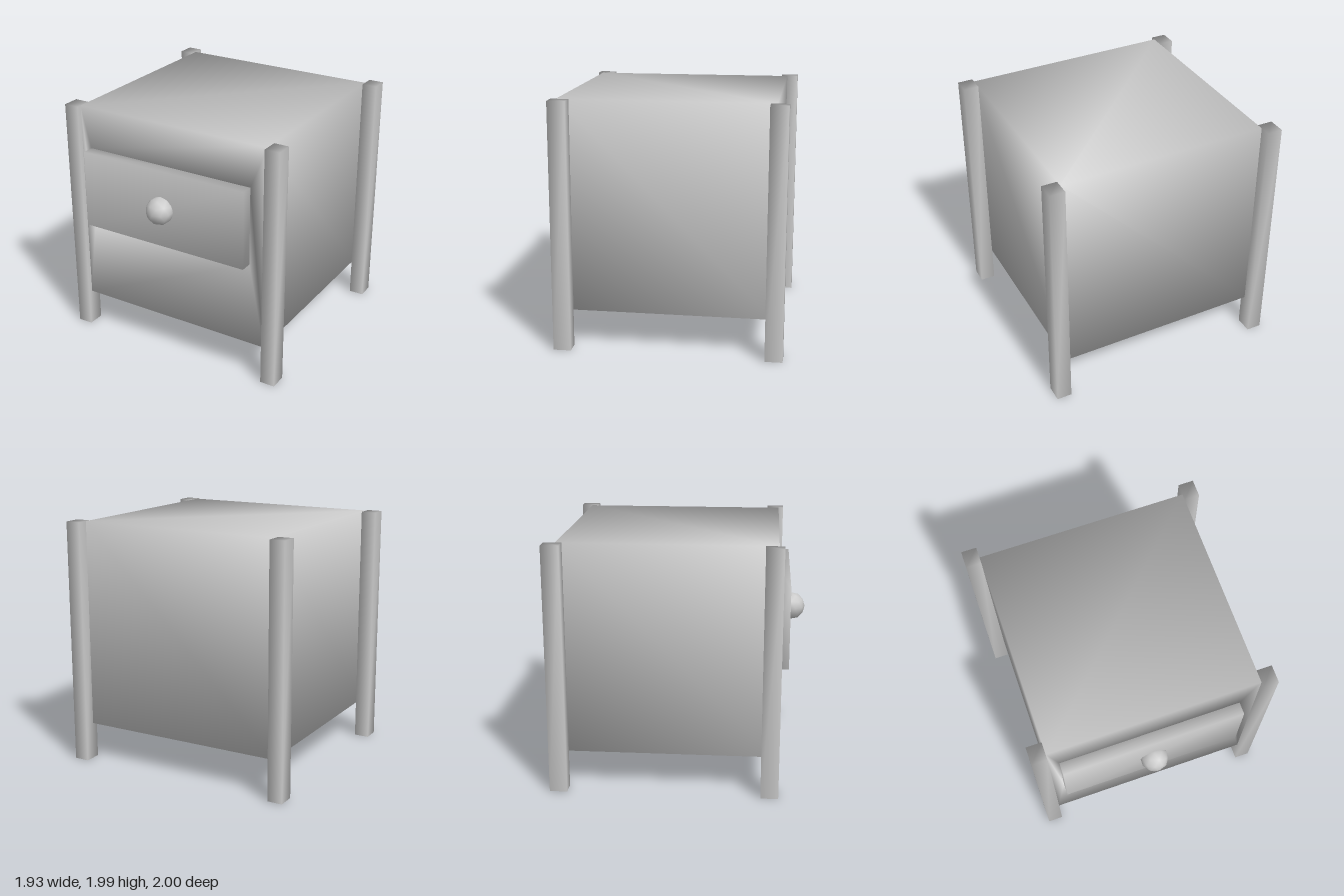
import * as THREE from 'three';
import { mergeVertices } from 'three/addons/utils/BufferGeometryUtils.js';

const material = new THREE.MeshStandardMaterial({ color: 0xcccccc });

function addMesh(parent, name, geometry) {
  const mesh = new THREE.Mesh(geometry, material);
  mesh.name = name;
  parent.add(mesh);
  return mesh;
}

// Box given by its limits, with shared corners so it shades smoothly
function softBox(x0, x1, y0, y1, z0, z1) {
  const box = new THREE.BoxGeometry(x1 - x0, y1 - y0, z1 - z0);
  box.translate((x0 + x1) / 2, (y0 + y1) / 2, (z0 + z1) / 2);
  box.deleteAttribute('normal');
  box.deleteAttribute('uv');
  const welded = mergeVertices(box);
  welded.computeVertexNormals();
  return welded;
}

// Skin over rectangular rings [x0, x1, y0, y1, z], capped at both ends
function ringSkin(rings) {
  const positions = [];
  const index = [];
  for (const [x0, x1, y0, y1, z] of rings) {
    positions.push(x0, y0, z, x1, y0, z, x1, y1, z, x0, y1, z);
  }
  for (let i = 0; i < rings.length - 1; i++) {
    for (let j = 0; j < 4; j++) {
      const k = (j + 1) % 4;
      const a = i * 4 + j, b = i * 4 + k, c = b + 4, d = a + 4;
      index.push(a, b, c, a, c, d);
    }
  }
  const e = (rings.length - 1) * 4;
  index.push(0, 2, 1, 0, 3, 2, e, e + 1, e + 2, e, e + 2, e + 3);
  const geometry = new THREE.BufferGeometry();
  geometry.setAttribute('position', new THREE.Float32BufferAttribute(positions, 3));
  geometry.setIndex(index);
  geometry.computeVertexNormals();
  return geometry;
}

export function createModel() {
  const model = new THREE.Group();
  model.name = 'nightstand';

  // Cabinet with a recess in its front for the drawer
  const opening = [-0.76, 0.705, 1.0, 1.64];
  addMesh(model, 'cabinet', ringSkin([
    [-0.845, 0.84, 0.3, 1.985, -0.91],
    [-0.845, 0.84, 0.3, 1.985, 0.77],
    [...opening, 0.77],
    [...opening, 0.2],
  ]));

  // Drawer front standing proud of the cabinet
  const drawer = new THREE.Group();
  drawer.name = 'drawer';
  model.add(drawer);
  addMesh(drawer, 'drawerFront', softBox(...opening, 0.7, 0.867));

  // Round faceted knob, one vertex pointing straight up
  const knob = addMesh(drawer, 'knob', new THREE.IcosahedronGeometry(0.113, 1));
  knob.rotation.z = -Math.atan(2 / (1 + Math.sqrt(5)));
  knob.position.set(-0.028, 1.317, 0.885);

  // Four square posts outside the cabinet's sides
  for (const [side, x0, x1] of [['Right', -0.967, -0.845], ['Left', 0.84, 0.962]]) {
    for (const [end, z0, z1] of [['front', 0.67, 0.81], ['back', -1.0, -0.86]]) {
      addMesh(model, `${end}${side}Leg`, softBox(x0, x1, 0, 1.985, z0, z1));
    }
  }
  return model;
}
